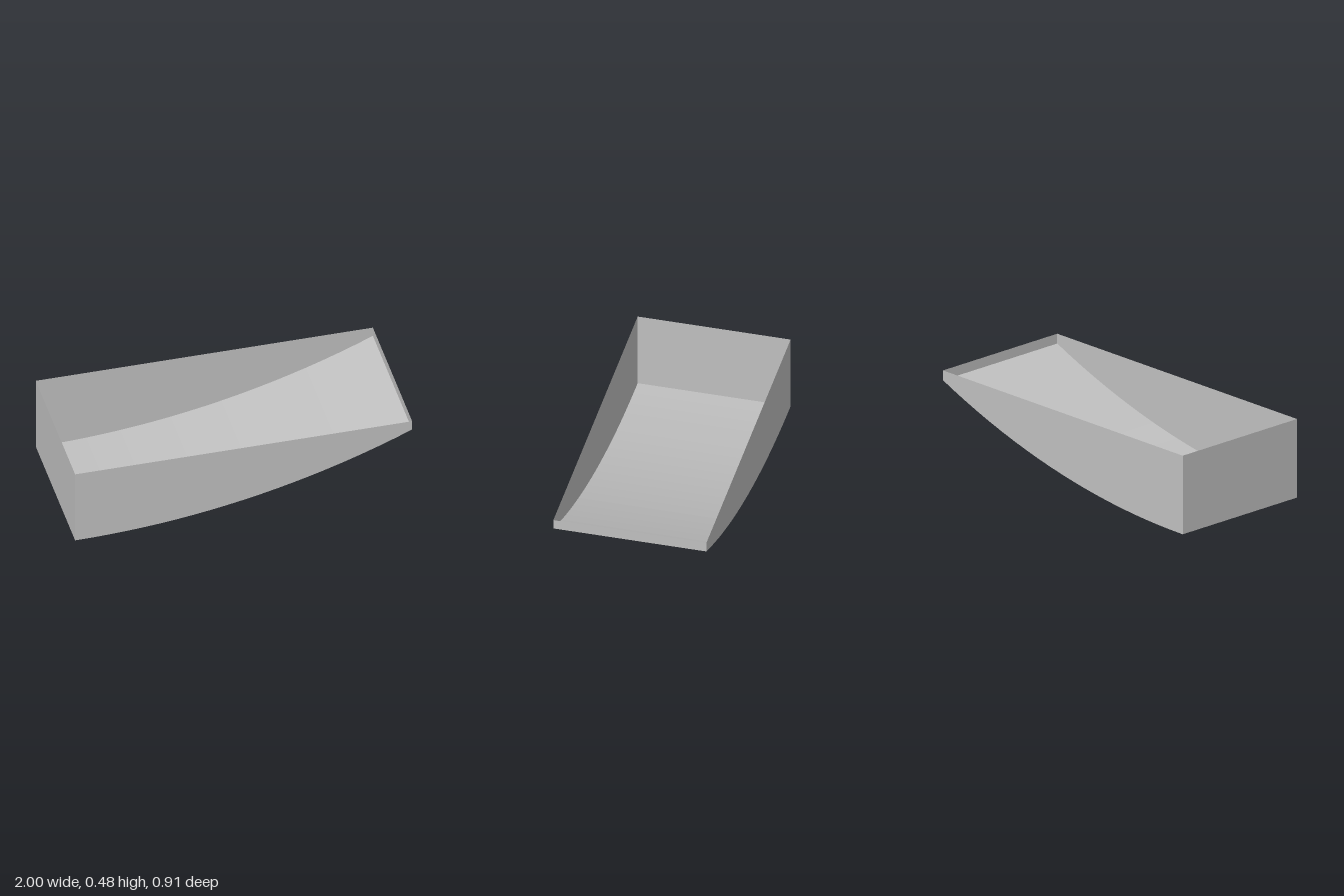
import * as THREE from 'three';

const HALF_WIDTH = 0.453, TOP = 0.48, LIP = 0.42, SEGMENTS = 20;
const RADIUS = (4 + LIP * LIP) / (2 * LIP);

// Height of the curved floor: a circular arc, level at x = -1 and rising to the lip at x = 1
const floorY = (x) => RADIUS - Math.sqrt(RADIUS * RADIUS - (x + 1) ** 2);

export function createModel() {
  const group = new THREE.Group();
  const grey = new THREE.MeshStandardMaterial({ color: 0xc0c0c0, side: THREE.DoubleSide });
  grey.name = 'light grey';

  const add = (name, geometry) => {
    const mesh = new THREE.Mesh(geometry, grey);
    mesh.name = name;
    group.add(mesh);
    return mesh;
  };

  // Curved floor: a flat sheet bent along the arc, with faceted strips
  const sheet = new THREE.PlaneGeometry(2, HALF_WIDTH * 2, SEGMENTS, 1).rotateX(-Math.PI / 2);
  const pos = sheet.attributes.position;
  for (let i = 0; i < pos.count; i++) pos.setY(i, floorY(pos.getX(i)));
  const floor = sheet.toNonIndexed();
  floor.computeVertexNormals();
  add('curvedFloor', floor);

  // Side walls: straight along the top, following the floor below
  const outline = new THREE.Shape();
  outline.moveTo(1, TOP);
  outline.lineTo(-1, TOP);
  for (let i = 0; i <= SEGMENTS; i++) {
    const x = -1 + (2 * i) / SEGMENTS;
    outline.lineTo(x, floorY(x));
  }
  outline.closePath();
  const wall = new THREE.ShapeGeometry(outline);
  add('frontWall', wall).position.z = HALF_WIDTH;
  const back = wall.clone().rotateY(Math.PI).scale(1, 1, 1);
  // Turn the back wall outwards, then restore its left-right direction
  const backPos = back.attributes.position;
  for (let i = 0; i < backPos.count; i++) backPos.setX(i, -backPos.getX(i));
  const index = back.index;
  for (let i = 0; i < index.count; i += 3) {
    const a = index.getX(i);
    index.setX(i, index.getX(i + 1));
    index.setX(i + 1, a);
  }
  back.computeVertexNormals();
  add('backWall', back).position.z = -HALF_WIDTH;

  // End walls: the tall end and the low lip
  for (const [name, side, bottom] of [['tallEnd', -1, 0], ['lowLip', 1, LIP]]) {
    const end = new THREE.PlaneGeometry(HALF_WIDTH * 2, TOP - bottom).rotateY((side * Math.PI) / 2);
    add(name, end).position.set(side, (TOP + bottom) / 2, 0);
  }
  return group;
}
